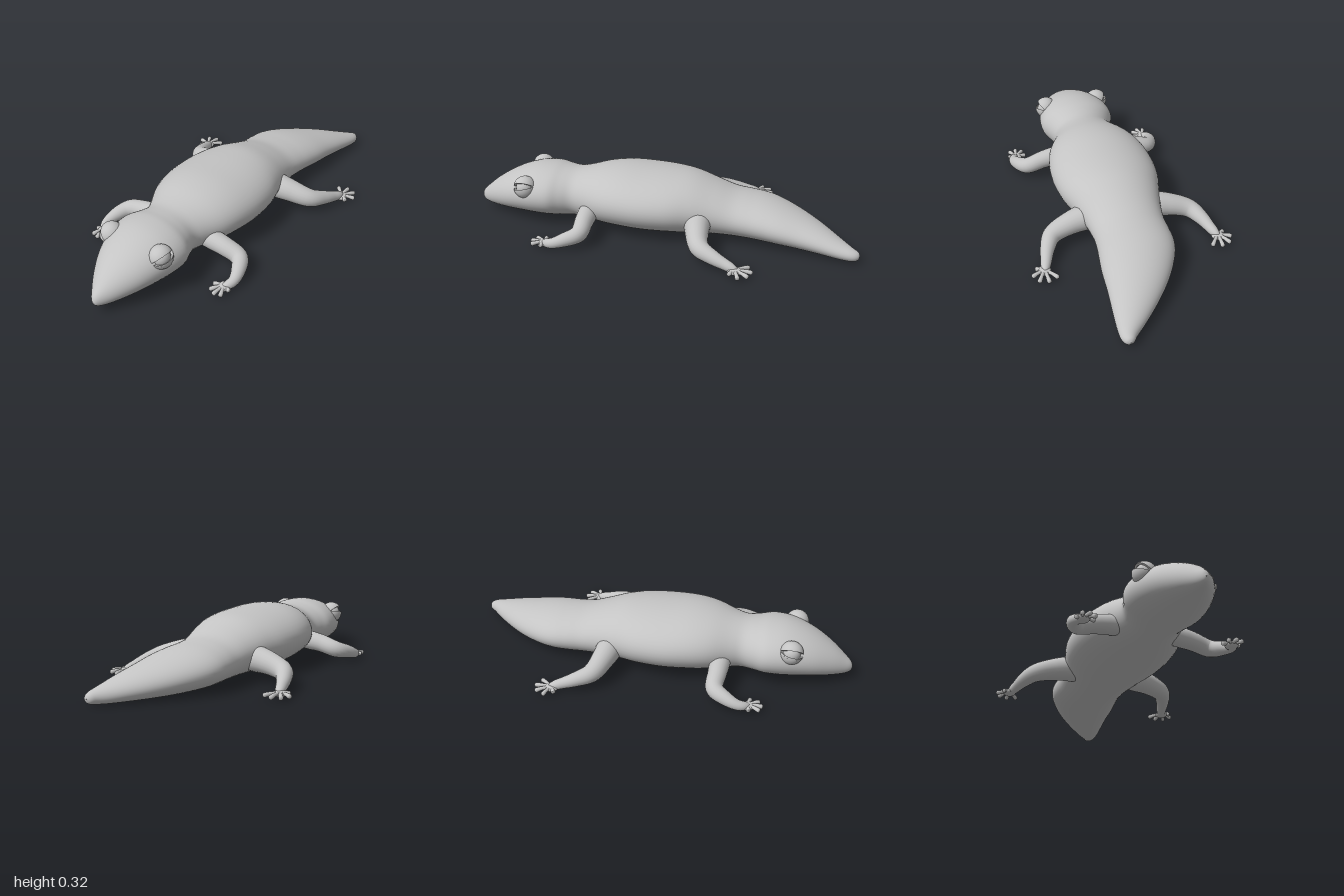
import * as THREE from 'three';
import { mergeVertices } from 'three/addons/utils/BufferGeometryUtils.js';

const skin = new THREE.MeshStandardMaterial({ color: 0xc4c4c4, side: THREE.DoubleSide });
skin.name = 'grey skin';

// Merge seams and make smooth normals
function smooth(geo) {
  geo.deleteAttribute('uv');
  geo.deleteAttribute('normal');
  const g = mergeVertices(geo, 1e-5);
  g.computeVertexNormals();
  return g;
}

function add(parent, name, geo) {
  const m = new THREE.Mesh(geo, skin);
  m.name = name;
  parent.add(m);
  return m;
}

// Tube through points, whose radius follows evenly spaced values
function taperedTube(points, radii, steps = 30, sides = 16) {
  const curve = new THREE.CatmullRomCurve3(points.map(p => new THREE.Vector3(...p)));
  const geo = new THREE.TubeGeometry(curve, steps, 1, sides);
  const pos = geo.attributes.position;
  const v = new THREE.Vector3();
  for (let i = 0; i <= steps; i++) {
    const t = i / steps, c = curve.getPointAt(t);
    const f = t * (radii.length - 1), k = Math.min(Math.floor(f), radii.length - 2);
    let r = THREE.MathUtils.lerp(radii[k], radii[k + 1], f - k);
    // rounded tip
    const e = Math.max(0, (t - 0.88) / 0.12);
    r *= Math.sqrt(Math.max(0, 1 - e * e));
    for (let j = 0; j <= sides; j++) {
      const n = i * (sides + 1) + j;
      v.fromBufferAttribute(pos, n).sub(c).multiplyScalar(r).add(c);
      pos.setXYZ(n, v.x, v.y, v.z);
    }
  }
  return smooth(geo);
}

// Head, trunk and curved tail: x, top, bottom, centre z, half width
const sections = [
  [-1, 0.066, 0.064, 0, 0.002], [-0.99, 0.095, 0.044, 0, 0.02], [-0.96, 0.125, 0.03, 0, 0.046],
  [-0.9, 0.175, 0.024, 0, 0.09], [-0.82, 0.225, 0.023, 0, 0.138], [-0.74, 0.26, 0.023, 0, 0.172],
  [-0.66, 0.28, 0.022, 0, 0.195], [-0.58, 0.283, 0.022, 0, 0.2], [-0.52, 0.275, 0.022, 0, 0.178],
  [-0.46, 0.271, 0.022, 0, 0.161], [-0.4, 0.28, 0.02, 0, 0.178], [-0.3, 0.304, 0.014, 0, 0.228],
  [-0.2, 0.315, 0.01, 0, 0.256], [-0.08, 0.313, 0.006, 0, 0.268], [0.05, 0.307, 0.005, 0, 0.257],
  [0.16, 0.294, 0.005, 0, 0.226], [0.27, 0.259, 0.005, 0, 0.196], [0.36, 0.229, 0.004, 0, 0.183],
  [0.44, 0.217, 0.003, 0.002, 0.185], [0.52, 0.207, 0.002, 0.011, 0.188], [0.6, 0.19, 0.001, 0.031, 0.179],
  [0.7, 0.161, 0, 0.064, 0.152], [0.8, 0.128, 0, 0.109, 0.117], [0.9, 0.09, 0, 0.162, 0.073],
  [0.96, 0.068, 0.004, 0.194, 0.041], [0.99, 0.054, 0.013, 0.2, 0.022], [1, 0.036, 0.034, 0.2, 0.002],
];

function bodyGeometry() {
  const heights = new THREE.CatmullRomCurve3(sections.map(s => new THREE.Vector3(s[0], s[1], s[2])), false, 'catmullrom');
  const widths = new THREE.CatmullRomCurve3(sections.map(s => new THREE.Vector3(s[0], s[3], s[4])), false, 'catmullrom');
  const rings = 130, sides = 48, pos = [], idx = [];
  for (let i = 0; i <= rings; i++) {
    const h = heights.getPoint(i / rings), w = widths.getPoint(i / rings);
    for (let j = 0; j < sides; j++) {
      const a = j / sides * Math.PI * 2;
      pos.push(h.x, (h.y + h.z) / 2 + (h.y - h.z) / 2 * Math.sin(a), w.y + w.z * Math.cos(a));
      if (i < rings) {
        const p = i * sides + j, q = i * sides + (j + 1) % sides;
        idx.push(p, p + sides, q, q, p + sides, q + sides);
      }
    }
  }
  const g = new THREE.BufferGeometry();
  g.setAttribute('position', new THREE.Float32BufferAttribute(pos, 3));
  g.setIndex(idx);
  g.computeVertexNormals();
  return g;
}

// Limb path, radii, palm centre and toe tips (x, z), for the +z side
const limbs = {
  front: {
    path: [[-0.36, 0.11, 0.13], [-0.358, 0.095, 0.25], [-0.362, 0.07, 0.34], [-0.42, 0.052, 0.378], [-0.485, 0.032, 0.392], [-0.545, 0.02, 0.368]],
    radii: [0.05, 0.05, 0.046, 0.043, 0.036, 0.026, 0.02],
    palm: [-0.525, 0.372],
    toes: [[-0.54, 0.412], [-0.592, 0.397], [-0.602, 0.36], [-0.582, 0.325], [-0.535, 0.315]],
  },
  hind: {
    path: [[0.2, 0.115, 0.12], [0.215, 0.1, 0.25], [0.248, 0.075, 0.355], [0.315, 0.056, 0.397], [0.39, 0.035, 0.424], [0.45, 0.02, 0.445]],
    radii: [0.066, 0.065, 0.056, 0.048, 0.038, 0.028, 0.021],
    palm: [0.43, 0.442],
    toes: [[0.497, 0.388], [0.518, 0.437], [0.502, 0.485], [0.455, 0.51], [0.405, 0.482]],
  },
};

function addLimb(parent, name, spec, side) {
  const limb = new THREE.Group();
  limb.name = name;
  add(limb, 'leg', taperedTube(spec.path.map(([x, y, z]) => [x, y, z * side]), spec.radii, 40, 20));
  const [px, pz] = spec.palm;
  const palm = add(limb, 'palm', new THREE.SphereGeometry(1, 20, 12));
  palm.scale.set(0.036, 0.016, 0.032);
  palm.position.set(px, 0.02, pz * side);
  for (const [x, z] of spec.toes) {
    const mid = [(px + x) / 2, 0.024, (pz + z) / 2 * side];
    add(limb, 'toe', taperedTube([[px, 0.02, pz * side], mid, [x, 0.017, z * side]],
      [0.011, 0.01, 0.009, 0.011, 0.012], 16, 10));
  }
  parent.add(limb);
}

// Eyeball behind two thick lids that leave a slit between them
function addEye(parent, name, side) {
  const eye = new THREE.Group();
  eye.name = name;
  add(eye, 'eyeball', new THREE.SphereGeometry(0.045, 24, 16));
  const lid = (label, from, length) => {
    // lune with its poles at the corners of the eye
    const g = new THREE.SphereGeometry(0.058, 20, 20, from, length);
    g.rotateZ(Math.PI / 2);
    add(eye, label, g);
    const inner = new THREE.SphereGeometry(0.047, 20, 20, from, length);
    inner.rotateZ(Math.PI / 2);
    add(eye, label + ' lining', inner);
    // edges of the lid
    for (const a of [from, from + length]) {
      const edge = new THREE.RingGeometry(0.046, 0.058, 20, 1, -Math.PI / 2, Math.PI);
      edge.rotateY(Math.PI - a);
      edge.rotateZ(Math.PI / 2);
      add(eye, label + ' edge', edge);
    }
  };
  lid('upper lid', Math.PI * 0.58 - Math.PI * 1.05, Math.PI * 1.0);
  lid('lower lid', Math.PI * 0.72, Math.PI * 0.55);
  eye.rotation.set(0, -0.3, 0.25);
  const holder = new THREE.Group();
  holder.name = name + ' socket';
  holder.add(eye);
  holder.position.set(-0.7, 0.203, 0.148 * side);
  holder.scale.z = side;
  parent.add(holder);
}

export function createModel() {
  const model = new THREE.Group();
  model.name = 'lizard';
  add(model, 'body', bodyGeometry());
  for (const side of [1, -1]) {
    const label = side > 0 ? 'near' : 'far';
    for (const [key, spec] of Object.entries(limbs)) addLimb(model, `${label} ${key} limb`, spec, side);
    addEye(model, `${label} eye`, side);
  }
  return model;
}
